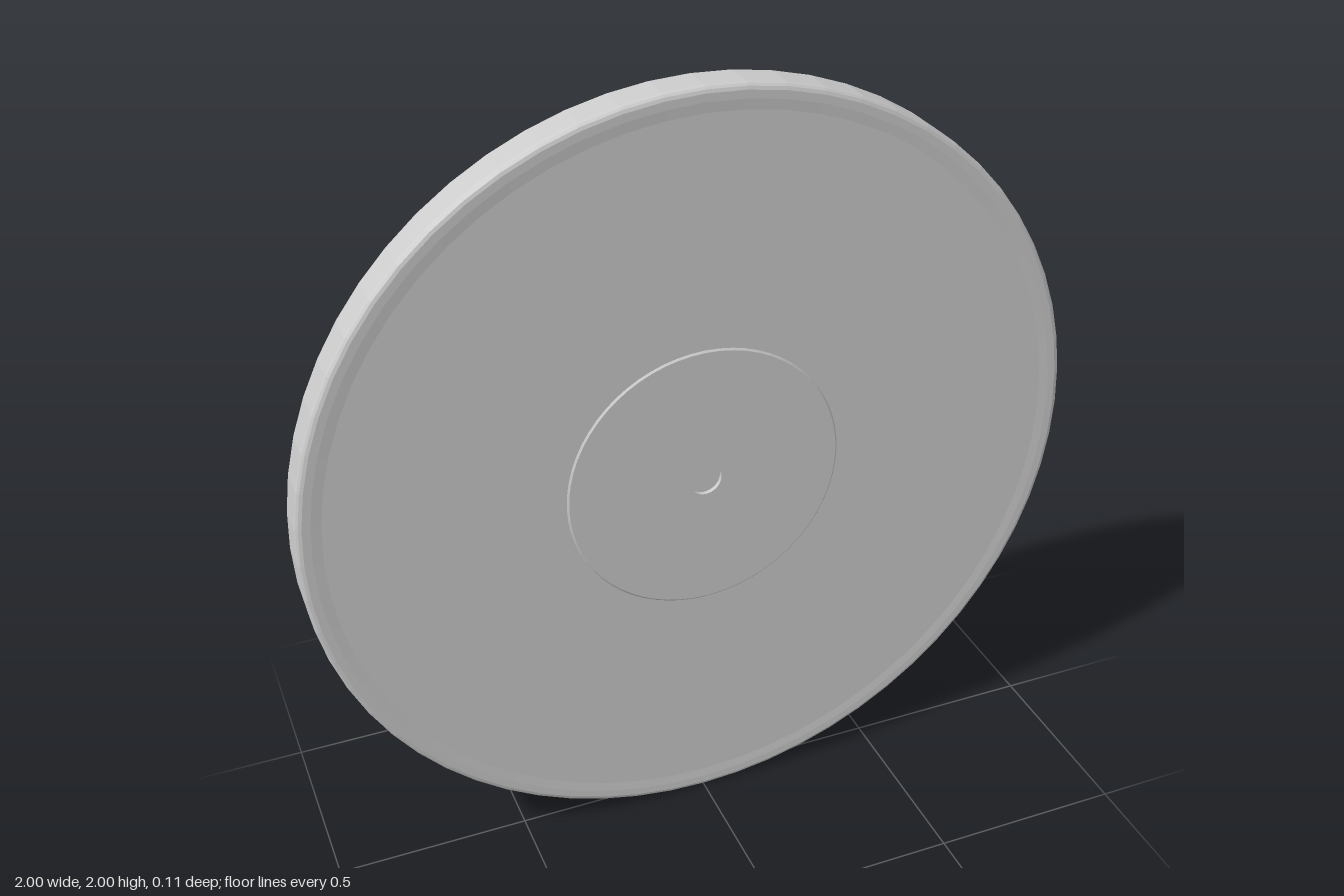
import * as THREE from 'three';

const SEGMENTS = 64;

// Mirrors a half profile (centre to rim, z >= 0) and spins it around the z axis.
function spin(name, half, material) {
  const back = half.map(([r, z]) => new THREE.Vector2(r, -z));
  const front = half.map(([r, z]) => new THREE.Vector2(r, z)).reverse();
  const geometry = new THREE.LatheGeometry([...back, ...front], SEGMENTS);
  geometry.rotateX(Math.PI / 2);
  const mesh = new THREE.Mesh(geometry, material);
  mesh.name = name;
  return mesh;
}

export function createModel() {
  const material = new THREE.MeshStandardMaterial({ color: 0xcccccc, flatShading: true });
  const model = new THREE.Group();
  model.name = 'record';

  // Disc with a rounded, very slightly raised rim
  const disc = spin('disc', [
    [0.2, 0.051], [0.94, 0.051], [0.965, 0.053], [0.985, 0.053],
    [0.993, 0.05], [0.998, 0.045], [1, 0.037],
  ], material);

  // Raised centre label on both faces, with a shallow spindle recess
  const label = spin('label', [
    [0, 0.044], [0.042, 0.044], [0.042, 0.055], [0.352, 0.055], [0.358, 0.05],
  ], material);

  model.add(disc, label);
  model.position.y = 1;

  const root = new THREE.Group();
  root.add(model);
  return root;
}
